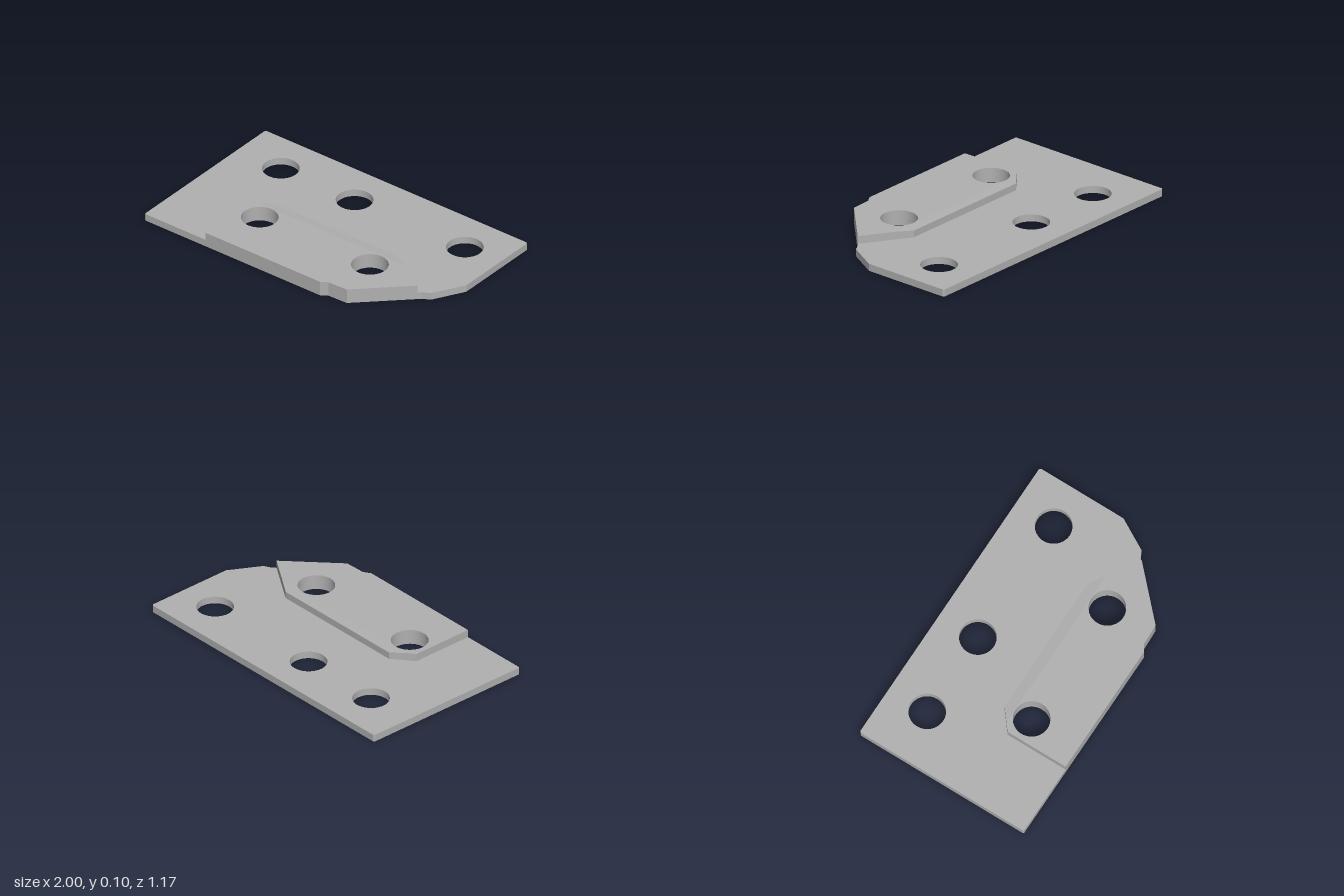
import * as THREE from 'three';
import { toCreasedNormals } from 'three/addons/utils/BufferGeometryUtils.js';

const PLATE_TOP = 0.046;
const PAD_TOP = 0.096;
const CREASE_Z = 0.13;
const HOLE_RADIUS = 0.113;

// Extrudes an outline given as [x, z] pairs, with round holes, between two heights
function slab(outline, holes, bottom, top) {
  const shape = new THREE.Shape(outline.map(([x, z]) => new THREE.Vector2(x, z)));
  for (const [x, z] of holes) {
    shape.holes.push(new THREE.Path().absarc(x, z, HOLE_RADIUS, 0, Math.PI * 2, true));
  }
  const geometry = new THREE.ExtrudeGeometry(shape, {
    depth: top - bottom, bevelEnabled: false, curveSegments: 24,
  });
  return geometry.rotateX(Math.PI / 2).translate(0, top, 0);
}

export function createModel() {
  const group = new THREE.Group();
  group.name = 'mountingPlate';
  const metal = new THREE.MeshStandardMaterial({ color: 0xb0b0b0 });
  metal.name = 'grey metal';

  const add = (name, geometry) => {
    const mesh = new THREE.Mesh(toCreasedNormals(geometry, 0.25), metal);
    mesh.name = name;
    group.add(mesh);
  };

  // Notched front right corner, shared by plate and pad
  const frontCorner = [[0.82, 0.255], [0.515, 0.55], [0.45, 0.553], [0.38, 0.555], [0.335, 0.583]];
  const rearHoles = [[-0.67, -0.315], [-0.108, -0.315], [0.733, -0.315]];
  const padHoles = [[-0.388, 0.247], [0.452, 0.247]];

  // Thin base plate with all five holes
  add('basePlate', slab([
    [-1, -0.575], [-0.99, -0.585], [0.99, -0.585], [1, -0.575],
    [1, 0.01], [0.888, 0.21], [0.84, 0.235], ...frontCorner,
    [-0.995, 0.583], [-1, 0.578],
  ], [...rearHoles, ...padHoles], 0, PLATE_TOP));

  // Raised pad, flat part
  const creaseLeft = [-0.485, CREASE_Z];
  const creaseRight = [0.626, CREASE_Z];
  add('raisedPad', slab([
    [-0.535, 0.583], [-0.535, 0.17], creaseLeft, creaseRight, ...frontCorner,
  ], padHoles, PLATE_TOP, PAD_TOP));

  // Back strip of the pad, sloping down slightly to its rear edge
  const strip = slab([creaseLeft, [-0.405, 0.065], [0.525, 0.065], creaseRight], [], PLATE_TOP, PAD_TOP);
  const p = strip.attributes.position;
  for (let i = 0; i < p.count; i++) {
    if (p.getY(i) > PAD_TOP - 0.01 && p.getZ(i) < 0.1) p.setY(i, PAD_TOP - 0.006);
  }
  add('padSlope', strip);

  return group;
}
